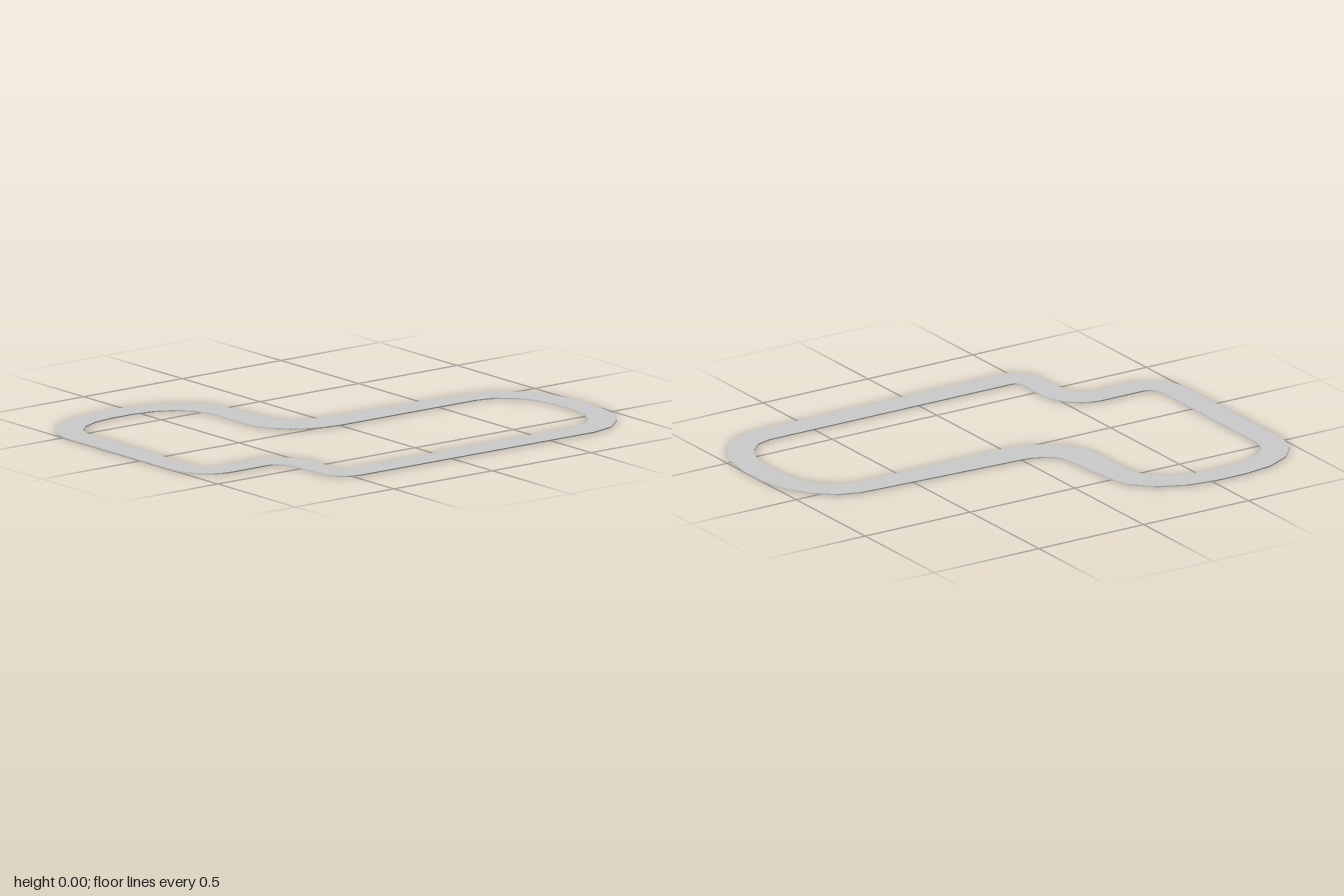
import * as THREE from 'three';

const THICKNESS = 0.005;

// Each corner in x, z: [start x, z,  corner x, z,  end x, z,  facets]; straights join them.
const outerEdge = [
  [-1, -0.485, -1, -0.743, -0.655, -0.743, 4],
  [-0.52, -0.743, -0.175, -0.743, -0.173, -0.497, 4],
  [-0.148, -0.23, -0.143, -0.123, 0, -0.12, 5],
  [0.74, -0.081, 0.98, -0.06, 1, 0.245, 4],
  [1, 0.385, 0.998, 0.743, 0.72, 0.743, 4],
  [-0.46, 0.743, -0.575, 0.743, -0.575, 0.63, 6],
  [-0.58, 0.492, -0.585, 0.385, -0.65, 0.385, 6],
  [-0.837, 0.385, -1, 0.385, -1, 0.205, 6],
];
const innerEdge = [
  [-0.89, -0.471, -0.89, -0.635, -0.64, -0.635, 4],
  [-0.537, -0.635, -0.286, -0.635, -0.286, -0.439, 4],
  [-0.286, -0.22, -0.286, 0.023, 0, 0.023, 6],
  [0.69, 0.023, 0.885, 0.023, 0.89, 0.275, 4],
  [0.89, 0.385, 0.885, 0.627, 0.715, 0.627, 4],
  [-0.445, 0.627, -0.473, 0.627, -0.473, 0.59, 4],
  [-0.47, 0.455, -0.475, 0.273, -0.64, 0.273, 6],
  [-0.84, 0.273, -0.89, 0.273, -0.89, 0.195, 5],
];

// Closed outline of straights and elliptical corners
function outline(corners) {
  return corners.flatMap(([ax, az, cx, cz, bx, bz, facets]) => {
    const a = new THREE.Vector2(ax, az);
    const b = new THREE.Vector2(bx, bz);
    const c = new THREE.Vector2(cx, cz);
    const k = 0.55;
    return new THREE.CubicBezierCurve(a, a.clone().lerp(c, k), b.clone().lerp(c, k), b).getPoints(facets);
  });
}

export function createModel() {
  const group = new THREE.Group();
  group.name = 'raceTrack';

  // Flat closed road loop, laid on the ground
  const shape = new THREE.Shape(outline(outerEdge));
  shape.holes.push(new THREE.Path(outline(innerEdge)));
  const geometry = new THREE.ExtrudeGeometry(shape, { depth: THICKNESS, bevelEnabled: false });
  geometry.rotateX(Math.PI / 2).translate(0, THICKNESS, 0);

  const road = new THREE.Mesh(geometry, new THREE.MeshStandardMaterial({ color: 0xcccccc }));
  road.name = 'roadLoop';
  group.add(road);
  return group;
}
